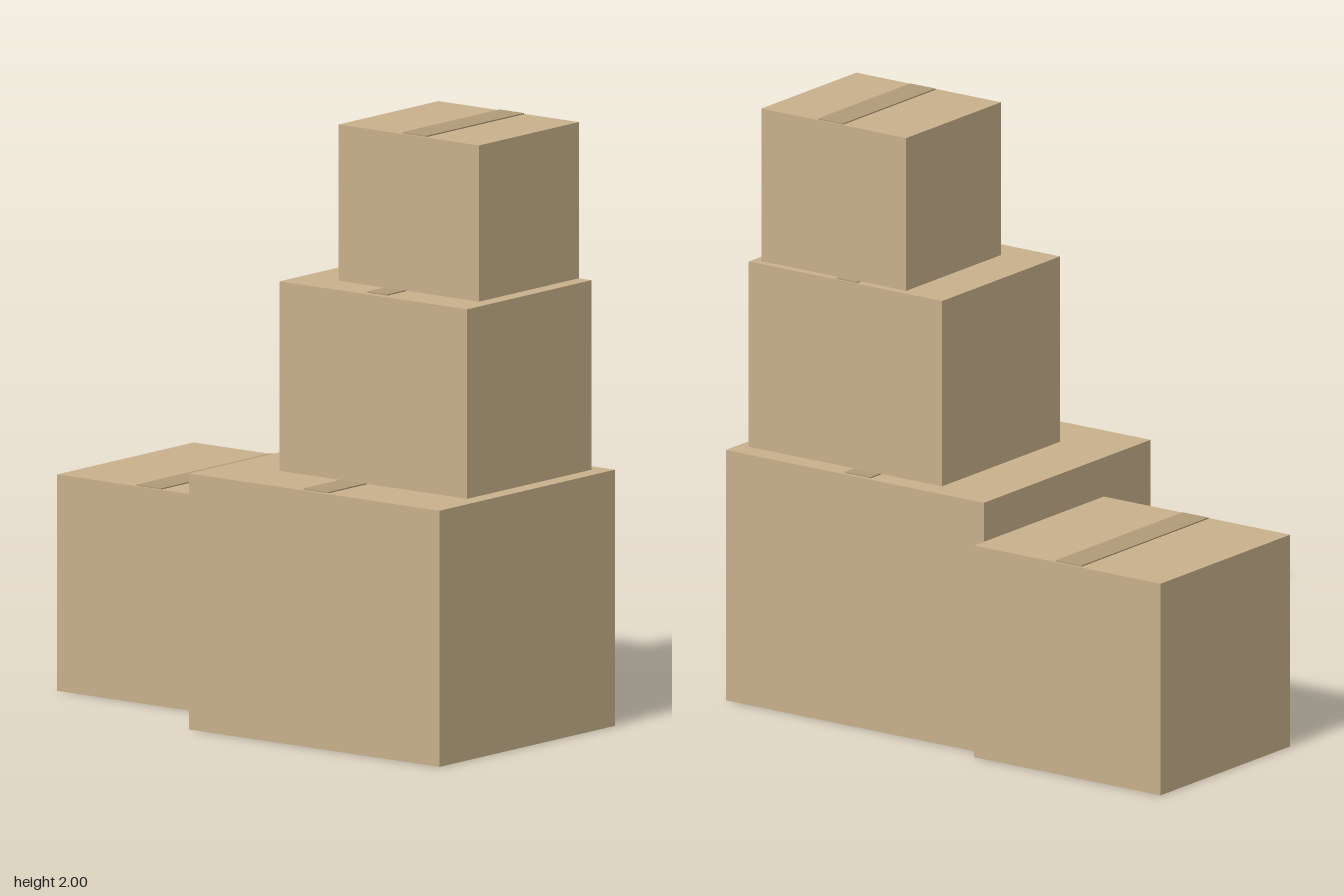
import * as THREE from 'three';

const cardboard = new THREE.MeshStandardMaterial({ color: 0xc8b08a });
const tapeBrown = new THREE.MeshStandardMaterial({ color: 0xb09a78 });
const TAPE = 0.004; // tape thickness

// Axis-aligned block given by its [min, max] range on each axis
function block(name, [x0, x1], [y0, y1], [z0, z1], material) {
  const mesh = new THREE.Mesh(new THREE.BoxGeometry(x1 - x0, y1 - y0, z1 - z0), material);
  mesh.position.set((x0 + x1) / 2, (y0 + y1) / 2, (z0 + z1) / 2);
  mesh.name = name;
  return mesh;
}

// Closed carton with a strip of tape along its top seam
function carton({ name, x, y, z, tapeX, tapeZ }) {
  const group = new THREE.Group();
  group.name = name;
  group.add(
    block('carton', x, y, z, cardboard),
    block('tape', tapeX, [y[1] - TAPE, y[1] + TAPE], tapeZ, tapeBrown),
  );
  return group;
}

export function createModel() {
  const model = new THREE.Group();
  model.name = 'boxStack';
  const cartons = [
    { name: 'largeBox', x: [-0.145, 0.895], y: [0, 0.846], z: [-0.43, 0.482], tapeX: [0.32, 0.424], tapeZ: [-0.418, 0.47] },
    { name: 'sideBox', x: [-0.898, -0.147], y: [0, 0.715], z: [-0.486, 0.224], tapeX: [-0.574, -0.47], tapeZ: [-0.479, 0.217] },
    { name: 'middleBox', x: [0.07, 0.849], y: [0.85, 1.476], z: [-0.367, 0.28], tapeX: [0.416, 0.498], tapeZ: [-0.362, 0.257] },
    { name: 'topBox', x: [0.226, 0.809], y: [1.48, 1.996], z: [-0.351, 0.168], tapeX: [0.484, 0.585], tapeZ: [-0.346, 0.16] },
  ];
  for (const c of cartons) model.add(carton(c));
  return model;
}
